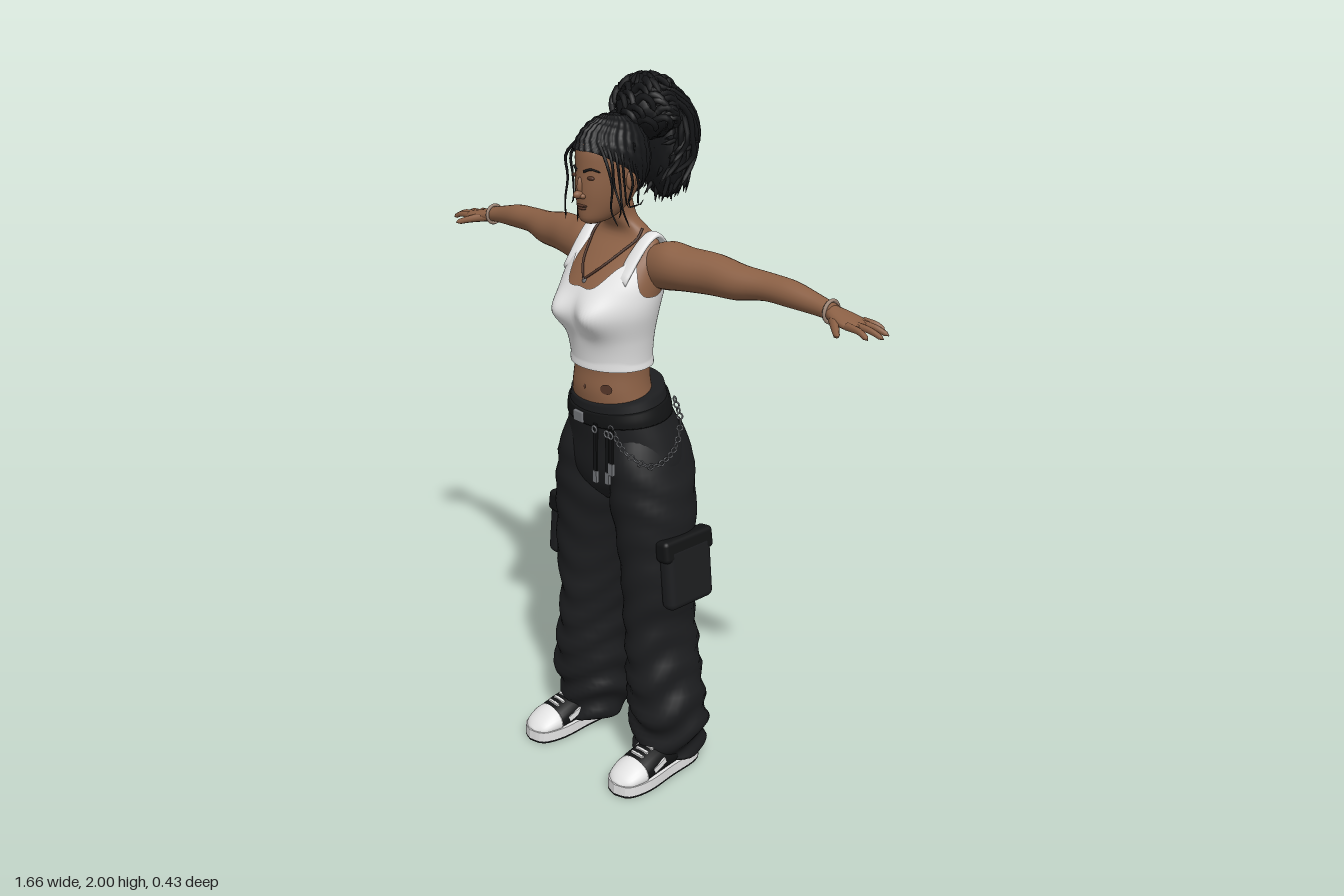
import * as THREE from 'three';
import { mergeGeometries } from 'three/addons/utils/BufferGeometryUtils.js';
import { RoundedBoxGeometry } from 'three/addons/geometries/RoundedBoxGeometry.js';

const V = (x, y, z) => new THREE.Vector3(x, y, z);
const TAU = Math.PI * 2;

// Catmull-Rom through rows of numbers
function sample(S, t) {
  const n = S.length - 1, i = Math.min(Math.floor(t * n), n - 1), f = t * n - i;
  return S[i].map((b, k) => {
    const a = S[Math.max(i - 1, 0)][k], c = S[i + 1][k], d = S[Math.min(i + 2, n)][k];
    return 0.5 * (2 * b + (c - a) * f + (2 * a - 5 * b + 4 * c - d) * f * f + (3 * b - a - 3 * c + d) * f * f * f);
  });
}

// Surface closed around the angle a; caps close both ends
function grid(nu, nv, fn, caps = true) {
  const pos = [], idx = [];
  for (let j = 0; j <= nv; j++) for (let i = 0; i < nu; i++) pos.push(...fn(i / nu * TAU, j / nv).toArray());
  for (let j = 0; j < nv; j++) for (let i = 0; i < nu; i++) {
    const k = (i + 1) % nu, a = j * nu + i, b = j * nu + k;
    idx.push(a, b, b + nu, a, b + nu, a + nu);
  }
  if (caps) for (const j of [0, nv]) {
    const c = V(0, 0, 0), m = pos.length / 3;
    for (let i = 0; i < nu; i++) c.add(V().fromArray(pos, (j * nu + i) * 3));
    pos.push(...c.divideScalar(nu).toArray());
    for (let i = 0; i < nu; i++) {
      const a = j * nu + i, b = j * nu + (i + 1) % nu;
      j ? idx.push(a, b, m) : idx.push(b, a, m);
    }
  }
  const g = new THREE.BufferGeometry();
  g.setAttribute('position', new THREE.Float32BufferAttribute(pos, 3));
  g.setIndex(idx);
  g.computeVertexNormals();
  return g;
}

// Elliptical sections [x, y, z, r1, r2] stacked along an axis
function loft(axis, S, nu = 24, mod = p => p) {
  return grid(nu, (S.length - 1) * 4, (a, t) => {
    const [x, y, z, r, q] = sample(S, t), s = Math.sin(a), c = Math.cos(a);
    if (axis === 'y') return mod(V(x + r * s, y, z + q * c), a);
    if (axis === 'x') return mod(V(x, y - r * s, z + q * c), a);
    return mod(V(x - r * s, y + q * c, z), a);
  });
}

// Tapering tube through points
function strand(pts, r0, r1, n = 10, k = 6) {
  const curve = new THREE.CatmullRomCurve3(pts), g = new THREE.TubeGeometry(curve, n, 1, k), P = g.attributes.position;
  for (let i = 0; i <= n; i++) {
    const c = curve.getPointAt(i / n), r = i === n ? 0.0005 : r0 + (r1 - r0) * i / n;
    for (let j = 0; j <= k; j++) {
      const m = i * (k + 1) + j, p = V().fromBufferAttribute(P, m).sub(c).multiplyScalar(r).add(c);
      P.setXYZ(m, p.x, p.y, p.z);
    }
  }
  return g;
}

function ball(x, y, z, rx, ry, rz, n = 16) {
  return new THREE.SphereGeometry(1, n, n).scale(rx, ry, rz).translate(x, y, z);
}

function mirror(g) {
  const m = g.clone().scale(-1, 1, 1);
  if (!m.index) m.setIndex([...Array(m.attributes.position.count).keys()]);
  const I = m.index.array;
  for (let i = 0; i < I.length; i += 3) [I[i], I[i + 1]] = [I[i + 1], I[i]];
  return m;
}

const TORSO = [[0, 1.08, .03, .14, .105], [0, 1.17, .05, .118, .1], [0, 1.24, .05, .112, .095], [0, 1.32, .055, .122, .1],
  [0, 1.4, .06, .142, .115], [0, 1.46, .045, .147, .115], [0, 1.51, .03, .143, .095], [0, 1.55, .015, .135, .07],
  [0, 1.585, 0, .115, .045], [0, 1.61, .002, .075, .041], [0, 1.64, .02, .046, .043], [0, 1.7, .04, .043, .045]];

// Point on the torso at angle a and height y, pushed out by off
function torso(a, y, off = 0) {
  let lo = 0, hi = 1;
  for (let i = 0; i < 24; i++) { const m = (lo + hi) / 2; sample(TORSO, m)[1] < y ? lo = m : hi = m; }
  const [, , cz, rx, rz] = sample(TORSO, lo), x = (rx + off) * Math.sin(a);
  let z = cz + (rz + off) * Math.cos(a);
  if (Math.cos(a) > 0) z += .035 * Math.exp(-(((Math.abs(x) - .065) / .045) ** 2) - ((y - 1.395) / .05) ** 2) * Math.min(1, Math.cos(a) * 2);
  return V(x, y, z);
}

export function createModel() {
  const model = new THREE.Group();
  const mat = (name, color, side = THREE.FrontSide) => Object.assign(new THREE.MeshStandardMaterial({ color, side }), { name });
  const skin = mat('skin', 0x8b6045), dark = mat('darkSkin', 0x553629), white = mat('white', 0xe4e4e4, THREE.DoubleSide),
    cloth = mat('blackCloth', 0x1c1d1f), trim = mat('blackTrim', 0x121314), hair = mat('hair', 0x151618, THREE.DoubleSide),
    metal = mat('metal', 0x74767a), cord = mat('cord', 0x4a3026), band = mat('bracelet', 0xa08878);
  const add = (name, g, m) => { const o = new THREE.Mesh(g, m); o.name = name; model.add(o); return o; };
  const both = (name, g, m) => { add(name + 'Left', g, m); add(name + 'Right', mirror(g), m); };
  let seed = 7;
  const rnd = (a = 0, b = 1) => { seed = (seed * 16807) % 2147483647; return a + (b - a) * seed / 2147483647; };

  // Body
  add('torso', grid(48, 60, (a, v) => torso(a, 1.08 + .615 * v)), skin);
  both('arm', loft('x', [[.1, 1.515, 0, .055, .045], [.16, 1.525, -.01, .065, .06], [.22, 1.525, -.02, .058, .062], [.3, 1.525, -.037, .054, .056],
    [.38, 1.52, -.045, .046, .05], [.46, 1.523, -.06, .036, .041], [.54, 1.52, -.065, .034, .036], [.62, 1.51, -.068, .026, .026], [.67, 1.503, -.068, .021, .024]]), skin);
  const fingers = [[-.035, .81, -.028], [-.056, .832, -.06], [-.077, .822, -.092], [-.096, .79, -.116]].map(([z, tx, tz]) =>
    strand([V(.74, 1.492, z), V((.755 + tx) / 2, 1.488, (z + tz) / 2), V(tx, 1.475, tz)], .011, .006, 8, 8));
  fingers.push(strand([V(.68, 1.495, -.055), V(.715, 1.487, -.02), V(.75, 1.475, .012)], .015, .007, 8, 8));
  both('palm', loft('x', [[.66, 1.503, -.068, .02, .023], [.69, 1.498, -.066, .018, .034], [.73, 1.492, -.065, .015, .041], [.765, 1.487, -.066, .011, .036]], 16), skin);
  both('fingers', mergeGeometries(fingers), skin);
  both('bracelet', new THREE.TorusGeometry(.027, .005, 6, 24).rotateY(Math.PI / 2).translate(.662, 1.504, -.068), band);

  // Head and face
  add('head', loft('y', [[0, 1.632, .115, .014, .02], [0, 1.645, .1, .036, .053], [0, 1.68, .077, .056, .08], [0, 1.72, .065, .066, .095],
    [0, 1.77, .058, .07, .1], [0, 1.83, .053, .068, .102], [0, 1.875, .05, .045, .07], [0, 1.89, .05, .01, .01]], 32), skin);
  add('nose', mergeGeometries([ball(0, 1.713, .163, .011, .011, .018), ball(0, 1.732, .157, .008, .026, .011), ball(.01, 1.709, .157, .008, .007, .01), ball(-.01, 1.709, .157, .008, .007, .01)]), skin);
  add('lips', mergeGeometries([ball(0, 1.683, .153, .02, .0045, .008), ball(0, 1.676, .152, .017, .005, .008)]), dark);
  both('ear', ball(.07, 1.745, .045, .009, .026, .016), skin);
  both('eye', ball(.029, 1.757, .148, .014, .0055, .006), dark);
  both('eyebrow', strand([V(.013, 1.773, .157), V(.032, 1.78, .15), V(.05, 1.773, .133)], .004, .002), hair);

  // Hair swept back from the hairline
  const edge = [[.3], [.28], [.1], [-.2], [-.55], [-.85], [-.95]];
  add('hairCap', grid(160, 24, (a, v) => {
    const f = sample(edge, Math.abs(a > Math.PI ? TAU - a : a) / Math.PI)[0], p = f + (Math.PI / 2 - f) * v;
    const k = 1 + .03 * Math.sin(a * 26 + 5 * Math.sin(v * 5)) * (1 - v) + .012 * Math.sin(v * 40);
    return V(.084 * k * Math.cos(p) * Math.sin(a), 1.79 + .118 * k * Math.sin(p), .05 + .115 * k * Math.cos(p) * Math.cos(a));
  }, false), hair);
  const lump = (cx, cy, cz, rx, ry, rz) => grid(40, 24, (a, v) => {
    const p = (v - .5) * 3.1, k = 1 + .07 * Math.sin(a * 9 + v * 14) * Math.sin(v * 22 + a * 2);
    return V(cx + rx * k * Math.cos(p) * Math.sin(a), cy + ry * k * Math.sin(p), cz + rz * k * Math.cos(p) * Math.cos(a));
  });
  add('hairBun', lump(0, 1.905, -.075, .088, .078, .08), hair);
  add('ponytailCore', lump(0, 1.79, -.14, .08, .125, .052), hair);
  const locs = [];
  for (let i = 0; i < 130; i++) {
    const s = rnd(-1, 1), d = rnd(), back = -.11 - .095 * d * Math.sqrt(1 - .6 * s * s), end = rnd(1.64, 1.8) + .05 * Math.abs(s);
    locs.push(strand([V(s * .03, 1.87, -.03), V(s * .075, 1.925 + .055 * rnd() * (1 - .4 * s * s), -.035 - .05 * d),
      V(s * .1 + rnd(-.01, .01), 1.9 + .05 * d * (1 - s * s), (back - .07) / 2 - .02), V(s * .105 + rnd(-.012, .012), 1.83, back),
      V(s * .095 + rnd(-.015, .015), (1.83 + end) / 2, back + rnd(-.01, .012)), V(s * .075 + rnd(-.015, .015), end, back + rnd(.01, .045))], .011, .006, 14, 5));
  }
  for (let i = 0; i < 60; i++) { // curls over the bun
    const a = rnd(0, TAU), p = rnd(-.3, 1.4), P = (u, w, k) => V(.095 * k * Math.cos(w) * Math.sin(u), 1.905 + .086 * k * Math.sin(w), -.075 + .085 * k * Math.cos(w) * Math.cos(u));
    locs.push(strand([P(a, p, .9), P(a + .25, p + .15, 1.02), P(a + .5, p, 1.04), P(a + .6, p - .3, 1)], .011, .007, 8, 5));
  }
  add('ponytailLocs', mergeGeometries(locs), hair);
  const wisps = [];
  for (const s of [-1, 1]) for (let i = 0; i < 6; i++) {
    const z = .13 - i * .018, e = 1.6 + rnd(0, .1);
    wisps.push(strand([V(s * (.045 + i * .006), 1.84, z), V(s * .08, 1.8, z + .008), V(s * rnd(.078, .095), 1.74, z), V(s * rnd(.08, .105), 1.68, z + rnd(-.01, .01)), V(s * rnd(.075, .115), e, z - .01)], .005, .002, 12, 5));
  }
  add('faceStrands', mergeGeometries(wisps), hair);

  // Tank top: upper edge follows neckline and armholes
  const rim = [[1.47], [1.472], [1.525], [1.535], [1.465], [1.45], [1.46], [1.51], [1.525], [1.525], [1.52]];
  add('tankTop', grid(96, 30, (a, v) => {
    const top = sample(rim, Math.abs(a > Math.PI ? TAU - a : a) / Math.PI)[0];
    return torso(a, 1.24 + (top - 1.24) * v, .008 + .0025 * (v < .05 ? 1 : 0));
  }, false), white);
  both('shoulderStrap', loft('z', [[.098, 1.5, -.058, .024, .012], [.105, 1.55, -.045, .022, .012], [.11, 1.585, -.022, .021, .01], [.111, 1.601, .002, .021, .009],
    [.109, 1.586, .032, .021, .01], [.106, 1.55, .066, .022, .012], [.102, 1.49, .112, .024, .012]], 12), white);
  both('necklace', strand([[1.4, 1.612], [.8, 1.59], [.5, 1.56], [.25, 1.52], [0, 1.485]].map(([a, y]) => torso(a, y, .006)), .0035, .0035, 20), cord);
  add('pendant', ball(0, 1.48, .147, .007, .011, .005), metal);
  add('bellyTattoo', new THREE.CircleGeometry(.018, 12).scale(1, .8, 1).rotateY(.42).translate(.07, 1.19, .134), dark);
  add('navel', ball(0, 1.185, .149, .004, .007, .003), dark);

  // Cargo trousers
  const tilt = p => { p.y -= (p.z - .03) * .17 * Math.min(1, Math.max(0, (p.y - 1) / .15)); return p; };
  add('trouserHips', loft('y', [[0, .83, 0, .03, .07], [0, .88, 0, .13, .118], [0, .94, 0, .196, .136], [0, 1.02, 0, .185, .14], [0, 1.1, .022, .158, .127], [0, 1.165, .03, .14, .118]], 48, tilt), cloth);
  const folds = (p, a) => {
    const w = .003 + .009 * Math.max(0, 1 - p.y / .55), f = p.y > .95 ? 0 : w * Math.sin(p.y * 62 + 2.2 * Math.sin(a * 2 + p.y * 5));
    p.x += f * Math.sin(a); p.z += f * Math.cos(a);
    return p;
  };
  both('trouserLeg', loft('y', [[.16, .04, -.03, .08, .108], [.16, .08, -.033, .094, .114], [.165, .14, -.024, .108, .114], [.167, .2, -.015, .112, .113], [.157, .3, -.01, .1, .116],
    [.147, .4, -.01, .088, .118], [.138, .5, -.005, .086, .115], [.142, .6, 0, .097, .115], [.132, .72, 0, .103, .12], [.12, .82, .003, .112, .125],
    [.11, .9, 0, .108, .132], [.1, .98, 0, .094, .134], [.085, 1.06, 0, .08, .11]], 40, folds), cloth);
  both('cargoPocket', new RoundedBoxGeometry(.05, .19, .17, 4, .022).rotateZ(.1).translate(.238, .66, -.012), cloth);
  both('pocketFlap', new RoundedBoxGeometry(.05, .065, .185, 3, .014).rotateZ(.14).translate(.229, .742, -.012), trim);

  // Belt, buckle, hanging straps and chain
  add('belt', loft('y', [[0, 1.09, .022, .163, .131], [0, 1.11, .024, .16, .131], [0, 1.135, .027, .153, .127]], 48, tilt), trim);
  add('buckle', new RoundedBoxGeometry(.04, .032, .012, 2, .004).translate(-.02, 1.095, .154), metal);
  for (const [x, l] of [[.045, .14], [.095, .13], [.11, .1]]) {
    add('hangingStrap', new THREE.BoxGeometry(.013, l, .006).translate(x, 1.09 - l / 2, .152), trim);
    add('strapClip', new THREE.BoxGeometry(.016, .035, .01).translate(x, 1.075 - l, .152), metal);
    add('strapRing', new THREE.TorusGeometry(.009, .003, 6, 12).translate(x, 1.075, .156), metal);
  }
  const path = new THREE.CatmullRomCurve3([V(.1, 1.09, .145), V(.15, 1.03, .135), V(.188, .985, .07), V(.204, 1.02, .01), V(.182, 1.09, -.035), V(.15, 1.14, -.045)]);
  const links = [];
  for (let i = 0; i <= 24; i++) {
    const o = new THREE.Object3D();
    o.position.copy(path.getPointAt(i / 24));
    o.lookAt(o.position.clone().add(path.getTangentAt(i / 24)));
    o.rotateZ(i % 2 * Math.PI / 2); o.updateMatrix();
    links.push(new THREE.TorusGeometry(.008, .0025, 5, 10).rotateY(Math.PI / 2).applyMatrix4(o.matrix));
  }
  add('waistChain', mergeGeometries(links), metal);

  // Shoes
  const half = [[0, -.22], [.045, -.2], [.062, -.13], [.054, -.03], [.05, .06], [.032, .103], [0, .112]];
  const outline = new THREE.Shape(new THREE.SplineCurve([...half, ...half.slice(1, -1).reverse().map(([x, z]) => [-x, z]), half[0]].map(p => new THREE.Vector2(...p))).getPoints(48).slice(0, -1));
  const slab = (y, h) => new THREE.ExtrudeGeometry(outline, { depth: h, bevelEnabled: false }).rotateX(-Math.PI / 2).translate(0, y, 0);
  const place = g => g.rotateY(.04).translate(.183, 0, 0);
  both('outsole', place(slab(0, .006)), trim);
  both('midsole', place(slab(.006, .03)), white);
  both('shoeUpper', place(loft('z', [[0, .055, -.105, .03, .03], [0, .06, -.06, .045, .045], [0, .062, .02, .05, .052], [0, .057, .09, .055, .046], [0, .045, .15, .055, .036], [0, .036, .195, .04, .02]])), trim);
  both('toeCap', place(loft('z', [[0, .046, .135, .058, .041], [0, .044, .16, .056, .036], [0, .037, .195, .044, .022], [0, .032, .214, .016, .008]])), white);
  both('shoeSideStripe', place(mergeGeometries([-1, 1].map(s => new THREE.BoxGeometry(.006, .018, .05).rotateX(.35).translate(s * .053, .062, .085)))), white);
  both('laces', place(mergeGeometries([.085, .105, .125].map(z => new THREE.BoxGeometry(.045, .006, .008).translate(0, .121 - z * .22, z)))), white);
  return model;
}
